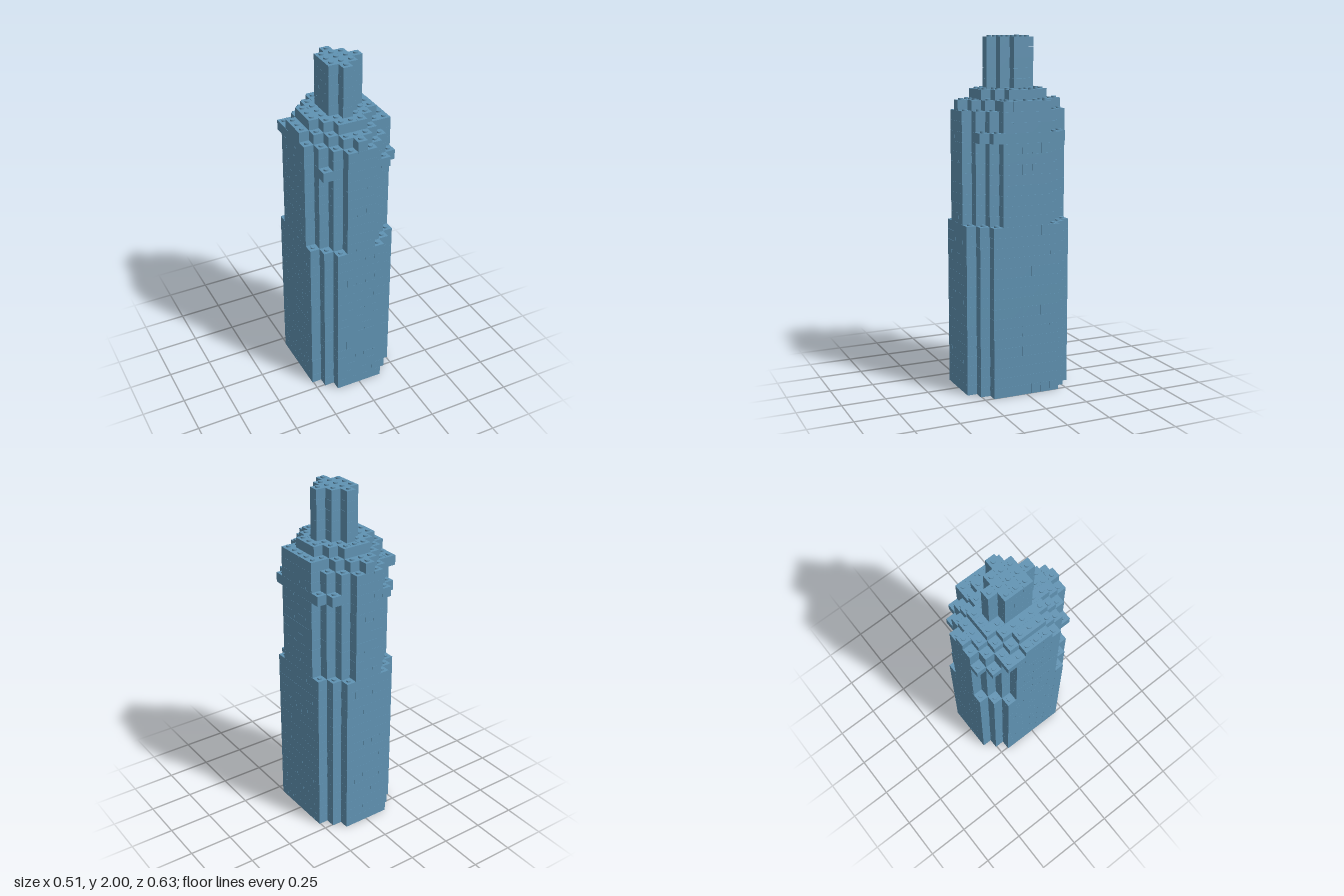
import * as THREE from 'three';
import { mergeGeometries } from 'three/addons/utils/BufferGeometryUtils.js';

const P = 0.057;    // stud pitch
const H = 0.0569;   // layer height
const GAP = 0.0005; // seam between bricks
const STUD_R = 0.0135, STUD_H = 0.0085;
const LAYERS = 35;

// Corner bricks that jut out from the shaft: [layer, x, z]
const corbels = [
  [25, 3, 4], [25, 4, 3], [25, 3, -4], [25, 4, -3],
  [25, -3, 4], [25, -2, -5], [25, -3, -4], [27, -4, -3],
];

// Stepped plan of each storey, in stud cells
function filled(l, x, z) {
  const ax = Math.abs(x), az = Math.abs(z), sum = ax + az;
  if (ax > 4 || az > 5 || l >= LAYERS) return false;
  if (corbels.some(c => c[0] === l && c[1] === x && c[2] === z)) return true;
  if (l < 17) return sum <= 7;
  if (l < 28) return sum <= 6;
  if (l < 29) return sum <= 5 || (x === 4 && az === 2);
  if (l < 30) return sum <= 4 && ax <= 3 && az <= 3;
  return sum <= 2 && x > -2;
}

function sectionName(l) {
  if (l < 17) return 'base';
  if (l < 28) return 'shaft';
  if (l < 30) return 'crown';
  return 'turret';
}

// One brick covering cells x0..x1, z0..z1 of a layer
function brick(l, x0, x1, z0, z1) {
  const g = new THREE.BoxGeometry((x1 - x0 + 1) * P - GAP, H - GAP, (z1 - z0 + 1) * P - GAP);
  g.translate((x0 + x1) / 2 * P, (l + 0.5) * H, (z0 + z1) / 2 * P);
  return g;
}

function stud(l, x, z) {
  const g = new THREE.CylinderGeometry(STUD_R, STUD_R, STUD_H, 16);
  g.translate(x * P, (l + 1) * H + STUD_H / 2 - GAP / 2, z * P);
  return g;
}

export function createModel() {
  const tower = new THREE.Group();
  tower.name = 'brickTower';
  const blue = new THREE.MeshStandardMaterial({ color: 0x6093b3 });
  blue.name = 'dustyBlue';

  const bricks = {}, studs = {};
  for (let l = 0; l < LAYERS; l++) {
    const name = sectionName(l);
    bricks[name] ??= [];
    studs[name] ??= [];

    // Bricks run along x and along z on alternate layers
    const alongX = l % 2 === 0;
    const has = (i, j) => (alongX ? filled(l, i, j) : filled(l, j, i));
    for (let j = -5; j <= 5; j++) {
      let start = null;
      for (let i = -5; i <= 6; i++) {
        if (has(i, j)) {
          if (start === null) start = i;
        } else if (start !== null) {
          bricks[name].push(alongX ? brick(l, start, i - 1, j, j) : brick(l, j, j, start, i - 1));
          start = null;
        }
      }
    }

    // Studs on every brick top that is left open
    for (let x = -4; x <= 4; x++)
      for (let z = -5; z <= 5; z++)
        if (filled(l, x, z) && !filled(l + 1, x, z)) studs[name].push(stud(l, x, z));
  }

  for (const name of Object.keys(bricks)) {
    const body = new THREE.Mesh(mergeGeometries(bricks[name]), blue);
    body.name = name + 'Bricks';
    tower.add(body);
    if (studs[name].length) {
      const tops = new THREE.Mesh(mergeGeometries(studs[name]), blue);
      tops.name = name + 'Studs';
      tower.add(tops);
    }
  }
  return tower;
}
